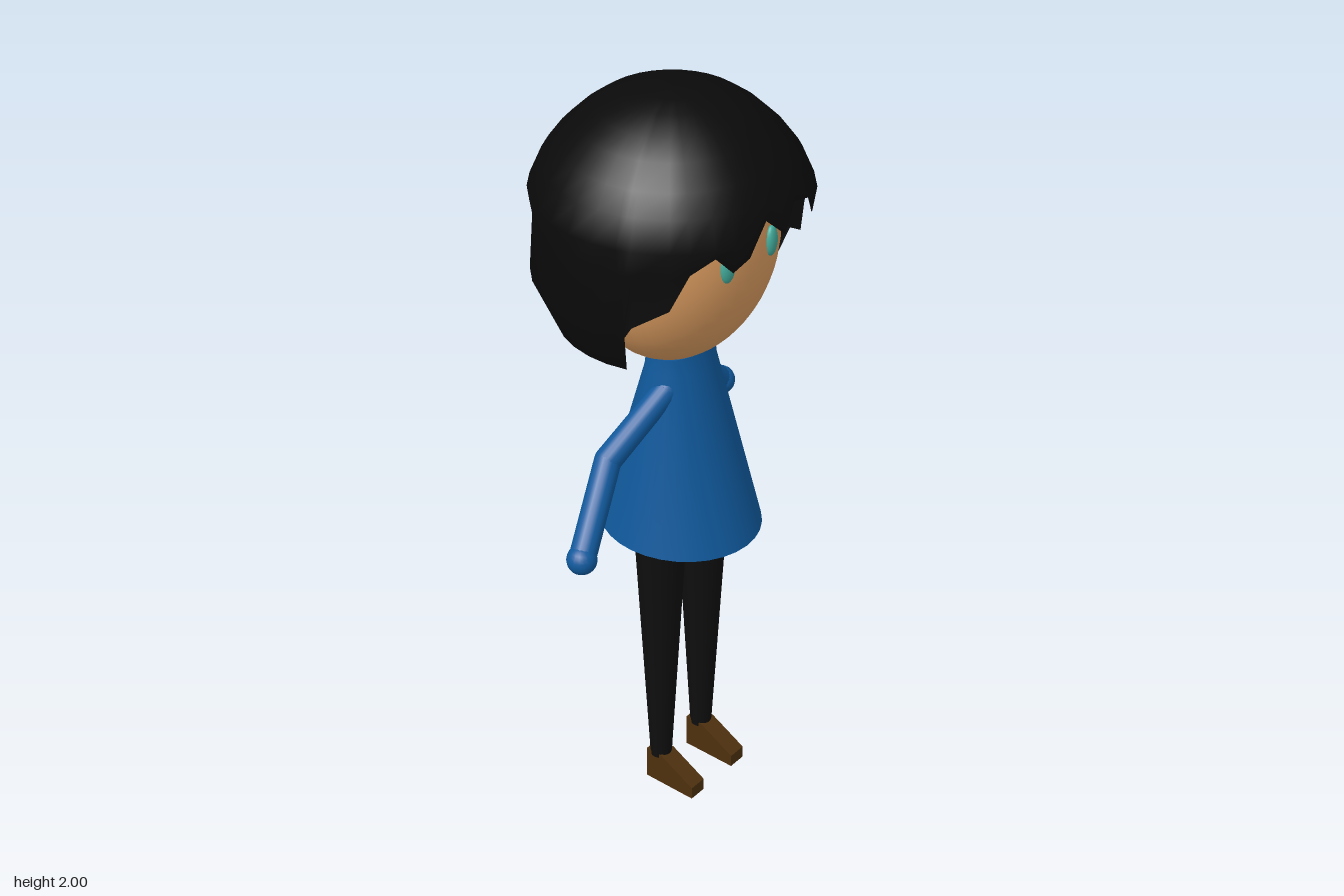
import * as THREE from 'three';
import { toCreasedNormals } from 'three/addons/utils/BufferGeometryUtils.js';

const mat = (name, color, side = THREE.FrontSide) => {
  const m = new THREE.MeshStandardMaterial({ color, side });
  m.name = name;
  return m;
};

// Surface from rows of points running around the y axis, listed from the bottom up
function loft(rows, cols, point) {
  const pos = [], idx = [];
  for (let r = 0; r < rows; r++) for (let c = 0; c < cols; c++) pos.push(...point(r, c));
  for (let r = 0; r < rows - 1; r++) for (let c = 0; c < cols; c++) {
    const n = (c + 1) % cols, a = r * cols + c, b = r * cols + n;
    idx.push(a, a + cols, b, b, a + cols, b + cols);
  }
  const g = new THREE.BufferGeometry();
  g.setAttribute('position', new THREE.Float32BufferAttribute(pos, 3));
  g.setIndex(idx);
  g.computeVertexNormals();
  return g;
}

// Piecewise linear lookup in a list of [key, value]
function lookup(list, k) {
  for (let i = 1; i < list.length; i++) {
    const [k0, v0] = list[i - 1], [k1, v1] = list[i];
    if (k <= k1) return v0 + (v1 - v0) * Math.max(0, (k - k0) / (k1 - k0));
  }
  return list[list.length - 1][1];
}

// Hair outline as [height, radius]
const hairProfile = [[1.4, 0.28], [1.53, 0.337], [1.68, 0.327], [1.75, 0.338], [1.82, 0.308], [1.87, 0.272],
  [1.92, 0.222], [1.955, 0.175], [1.983, 0.115], [1.995, 0.06], [2, 0]];
// Jagged lower edge around the face as [angle from the front in degrees, height]
const hairEdge = [[-74, 1.4], [-71, 1.53], [-62, 1.55], [-56, 1.65], [-49, 1.73], [-36, 1.68], [-34, 1.76],
  [-24, 1.72], [-20, 1.77], [-9, 1.79], [1, 1.735], [10, 1.785], [19, 1.71], [26, 1.68], [34, 1.73],
  [44, 1.69], [52, 1.6], [67, 1.55], [70, 1.52], [73, 1.4]];

function hairGeometry() {
  const angles = hairEdge.map(e => e[0]);
  for (let a = 84; a < 286; a += 11) angles.push(a);
  return loft(hairProfile.length, angles.length, (r, c) => {
    const a = angles[c];
    const low = a <= 73 ? lookup(hairEdge, a) : 1.4;
    const y = Math.max(hairProfile[r][0], low);
    const rad = lookup(hairProfile, y), t = THREE.MathUtils.degToRad(a);
    return [rad * Math.cos(t), y, 0.015 + rad * Math.sin(t)];
  });
}

export function createModel() {
  const model = new THREE.Group();
  const skin = mat('skin', 0xdb9c60);
  const hair = mat('hair black', 0x0a0a0a, THREE.DoubleSide);
  const blue = mat('sweater blue', 0x10599c);
  const black = mat('trouser black', 0x0e0e0e);
  const brown = mat('shoe brown', 0x4e300e);
  const teal = mat('eye teal', 0x42ab9b);

  const add = (name, geo, material, parent = model) => {
    const m = new THREE.Mesh(geo, material);
    m.name = name;
    parent.add(m);
    return m;
  };

  // Head, eyes and hair
  const head = add('head', new THREE.SphereGeometry(1, 40, 28), skin);
  head.position.set(0.02, 1.607, 0.005);
  head.scale.set(0.207, 0.302, 0.28);
  for (const s of [1, -1]) {
    const eye = add(s > 0 ? 'rightEye' : 'leftEye', new THREE.SphereGeometry(1, 20, 14), teal);
    eye.position.set(0.217, 1.63, -0.002 + s * 0.083);
    eye.rotation.y = -s * 0.2;
    eye.scale.set(0.014, 0.04, 0.021);
  }
  add('hair', hairGeometry(), hair);

  // Sweater with a narrow collar and rounded underside: [height, x radius, z radius]
  const rings = [[0.752, 0, 0], [0.757, 0.08, 0.075], [0.772, 0.145, 0.135], [0.8, 0.211, 0.195],
    [1.265, 0.077, 0.103], [1.315, 0.07, 0.099], [1.32, 0, 0]];
  const sweater = loft(rings.length, 32, (r, c) => {
    const [y, rx, rz] = rings[r], t = c / 32 * Math.PI * 2;
    return [0.015 + rx * Math.cos(t), y, rz * Math.sin(t)];
  });
  add('sweater', toCreasedNormals(sweater, 0.7), blue);

  // Arms: upper arm, forearm, elbow and hand
  const up = new THREE.Vector3(0, 1, 0);
  const limb = (name, a, b, r0, r1, parent) => {
    const d = b.clone().sub(a);
    const m = add(name, new THREE.CylinderGeometry(r1, r0, d.length(), 18), blue, parent);
    m.position.copy(a).addScaledVector(d, 0.5);
    m.quaternion.setFromUnitVectors(up, d.normalize());
  };
  const ball = (name, p, r, parent) =>
    add(name, new THREE.SphereGeometry(r, 18, 12), blue, parent).position.copy(p);
  const arms = {
    rightArm: [[0.035, 1.225, 0.08], [-0.022, 1.075, 0.235], [0.035, 0.9, 0.403]],
    leftArm: [[-0.03, 1.225, -0.08], [-0.174, 1.1, -0.22], [-0.175, 0.928, -0.403]],
  };
  for (const [name, pts] of Object.entries(arms)) {
    const arm = new THREE.Group();
    arm.name = name;
    model.add(arm);
    const [shoulder, elbow, hand] = pts.map(p => new THREE.Vector3(...p));
    limb('upperArm', shoulder, elbow, 0.032, 0.034, arm);
    limb('forearm', elbow, hand, 0.034, 0.034, arm);
    ball('shoulder', shoulder, 0.032, arm);
    ball('elbow', elbow, 0.034, arm);
    ball('hand', hand, 0.038, arm);
  }

  // Tapered legs and wedge shoes
  const shoe = new THREE.Shape([[-0.01, 0], [0.143, 0], [0.143, 0.035], [0.04, 0.092], [-0.01, 0.092]]
    .map(p => new THREE.Vector2(...p)));
  for (const [side, z] of [['right', 0.086], ['left', -0.082]]) {
    const leg = add(side + 'Leg', new THREE.CylinderGeometry(0.066, 0.028, 0.71, 20), black);
    leg.position.set(0.019, 0.435, z);
    const foot = add(side + 'Shoe', new THREE.ExtrudeGeometry(shoe, { depth: 0.05, bevelEnabled: false }), brown);
    foot.position.z = z - 0.025;
  }
  return model;
}
